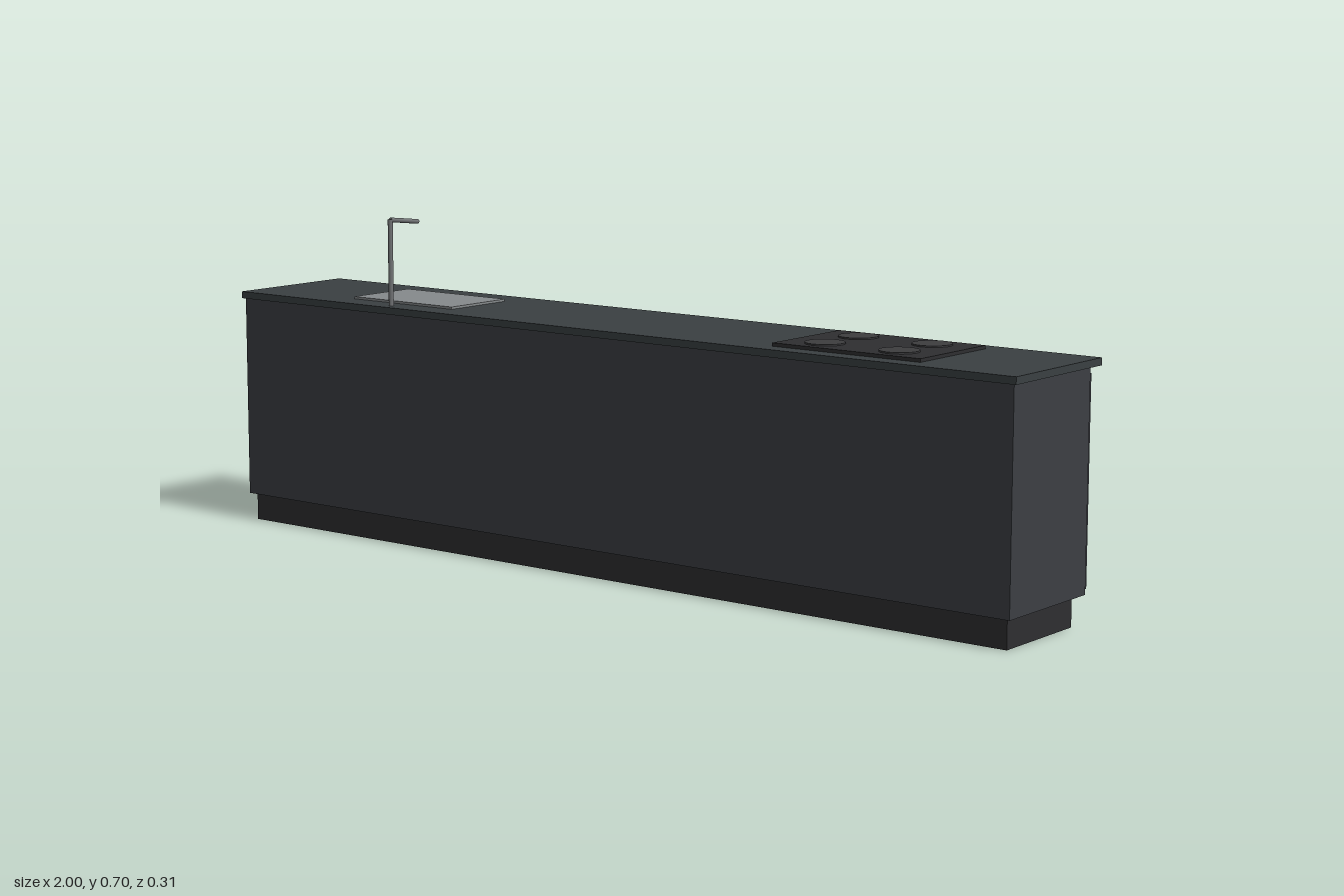
import * as THREE from 'three';

const material = (color) => new THREE.MeshStandardMaterial({ color });

export function createModel() {
  const group = new THREE.Group();
  const cabinet = material(0x3c3f44);
  const counter = material(0x3a4042);
  const dark = material(0x2e2e30);
  const ring = material(0x3d3d3f);
  const steel = material(0x868a8c);
  const metal = material(0x707274);

  // Box given by its limits on each axis
  function box(name, [x0, x1], [y0, y1], [z0, z1], mat) {
    const mesh = new THREE.Mesh(new THREE.BoxGeometry(x1 - x0, y1 - y0, z1 - z0), mat);
    mesh.position.set((x0 + x1) / 2, (y0 + y1) / 2, (z0 + z1) / 2);
    mesh.name = name;
    group.add(mesh);
  }

  // Round bar between two points
  function rod(name, from, to, radius, mat, sides = 12) {
    const a = new THREE.Vector3(...from);
    const b = new THREE.Vector3(...to);
    const dir = b.clone().sub(a);
    const mesh = new THREE.Mesh(new THREE.CylinderGeometry(radius, radius, dir.length(), sides), mat);
    mesh.position.copy(a).add(b).multiplyScalar(0.5);
    mesh.quaternion.setFromUnitVectors(new THREE.Vector3(0, 1, 0), dir.normalize());
    mesh.name = name;
    group.add(mesh);
  }

  // Body of the island
  box('plinth', [-0.981, 0.981], [0, 0.06], [-0.095, 0.137], dark);
  box('carcass', [-0.993, 0.993], [0.06, 0.5], [-0.124, 0.149], cabinet);
  box('worktop', [-1, 1], [0.5, 0.515], [-0.154, 0.154], counter);

  // Six doors on the back, each with a bar handle on two posts
  const pitch = 0.331;
  for (let i = 0; i < 6; i++) {
    const x = (i - 2.5) * pitch;
    box('door', [x - 0.1625, x + 0.1625], [0.07, 0.487], [-0.133, -0.124], cabinet);
    rod('handleBar', [x - 0.13, 0.447, -0.151], [x + 0.13, 0.447, -0.151], 0.0025, metal, 8);
    for (const s of [-1, 1]) {
      rod('handlePost', [x + s * 0.12, 0.447, -0.132], [x + s * 0.12, 0.447, -0.151], 0.002, metal, 8);
    }
  }

  // Hob with four cooking zones
  box('hob', [0.425, 0.767], [0.515, 0.522], [-0.114, 0.114], dark);
  for (const x of [0.51, 0.682]) {
    for (const z of [-0.057, 0.057]) {
      rod('cookingZone', [x, 0.521, z], [x, 0.525, z], 0.04, ring, 32);
    }
  }

  // Sink panel and angled tap
  box('sink', [-0.715, -0.43], [0.513, 0.52], [-0.079, 0.092], steel);
  rod('tapPost', [-0.572, 0.515, 0.127], [-0.572, 0.7, 0.127], 0.0055, metal);
  rod('tapSpout', [-0.572, 0.699, 0.126], [-0.572, 0.689, 0.041], 0.005, metal);

  return group;
}
